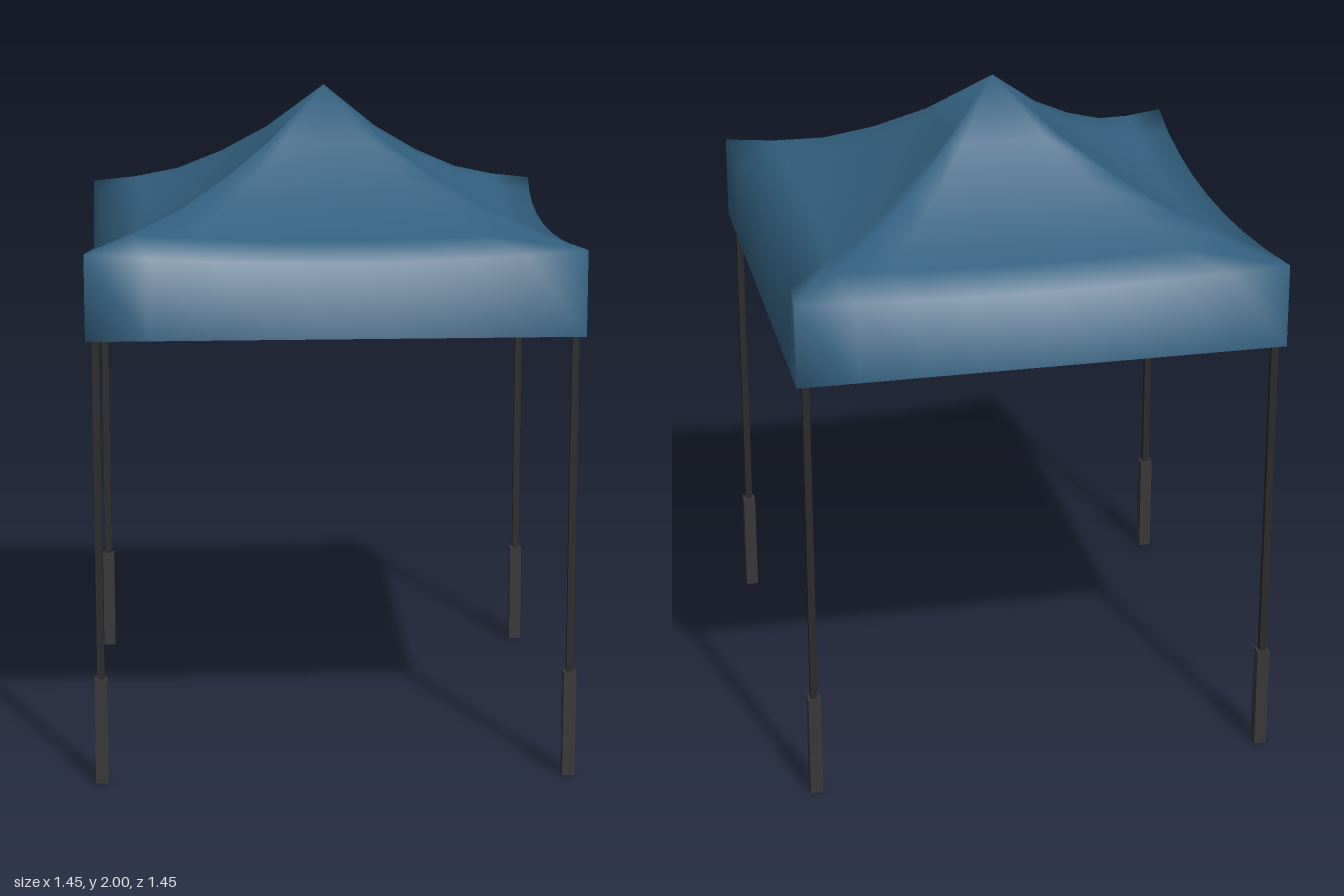
import * as THREE from 'three';

const fabric = new THREE.MeshStandardMaterial({ color: 0x33607f, side: THREE.DoubleSide });
const metal = new THREE.MeshStandardMaterial({ color: 0x2a2a2a });
const footMetal = new THREE.MeshStandardMaterial({ color: 0x383838 });

// Square rings from the peak to the hem: half width, corner height, mid-side inset, mid-side sag
const RINGS = [
  [0.17, 1.85, 0.005, 0.005],
  [0.31, 1.755, 0.01, 0.01],
  [0.45, 1.68, 0.02, 0.02],
  [0.59, 1.633, 0.03, 0.03],
  [0.727, 1.6, 0.04, 0.04],
  [0.727, 1.345, 0, 0],
];
const STEPS = 8; // segments per side

function canopyGeometry() {
  const positions = [0, 2, 0];
  const index = [];
  const n = STEPS * 4;
  for (const [half, y, inset, sag] of RINGS) {
    for (let side = 0; side < 4; side++) {
      for (let i = 0; i < STEPS; i++) {
        const u = (i / STEPS) * 2 - 1;
        const bow = 1 - u * u;
        const p = new THREE.Vector3(u * half, y - sag * bow, half - inset * bow);
        p.applyAxisAngle(new THREE.Vector3(0, 1, 0), side * Math.PI / 2);
        positions.push(p.x, p.y, p.z);
      }
    }
  }
  for (let i = 0; i < n; i++) {
    const j = (i + 1) % n;
    index.push(0, 1 + i, 1 + j);
    for (let r = 0; r < RINGS.length - 1; r++) {
      const a = 1 + r * n, b = a + n;
      index.push(a + i, b + i, b + j, a + i, b + j, a + j);
    }
  }
  const geometry = new THREE.BufferGeometry();
  geometry.setAttribute('position', new THREE.Float32BufferAttribute(positions, 3));
  geometry.setIndex(index);
  geometry.computeVertexNormals();
  return geometry;
}

function box(name, size, position, material) {
  const mesh = new THREE.Mesh(new THREE.BoxGeometry(...size), material);
  mesh.name = name;
  mesh.position.set(...position);
  return mesh;
}

export function createModel() {
  const model = new THREE.Group();
  model.name = 'canopyTent';

  // Fabric roof with its hanging valance
  const canopy = new THREE.Mesh(canopyGeometry(), fabric);
  canopy.name = 'canopy';
  model.add(canopy);

  // Corner legs: thin upper pole in a thicker lower sleeve
  for (const x of [-1, 1]) {
    for (const z of [-1, 1]) {
      const leg = new THREE.Group();
      leg.name = (z > 0 ? 'front' : 'back') + (x > 0 ? 'Left' : 'Right') + 'Leg';
      leg.position.set(x * 0.698, 0, z * 0.698);
      leg.add(box('pole', [0.021, 1.22, 0.021], [0, 0.92, 0], metal));
      leg.add(box('lowerSleeve', [0.038, 0.322, 0.038], [0, 0.161, 0], footMetal));
      model.add(leg);
    }
  }

  // Dark trim inside the hem
  for (const s of [-1, 1]) {
    model.add(box('hemTrim', [1.44, 0.012, 0.012], [0, 1.352, s * 0.718], metal));
    model.add(box('hemTrim', [0.012, 0.012, 1.42], [s * 0.718, 1.352, 0], metal));
  }
  return model;
}
